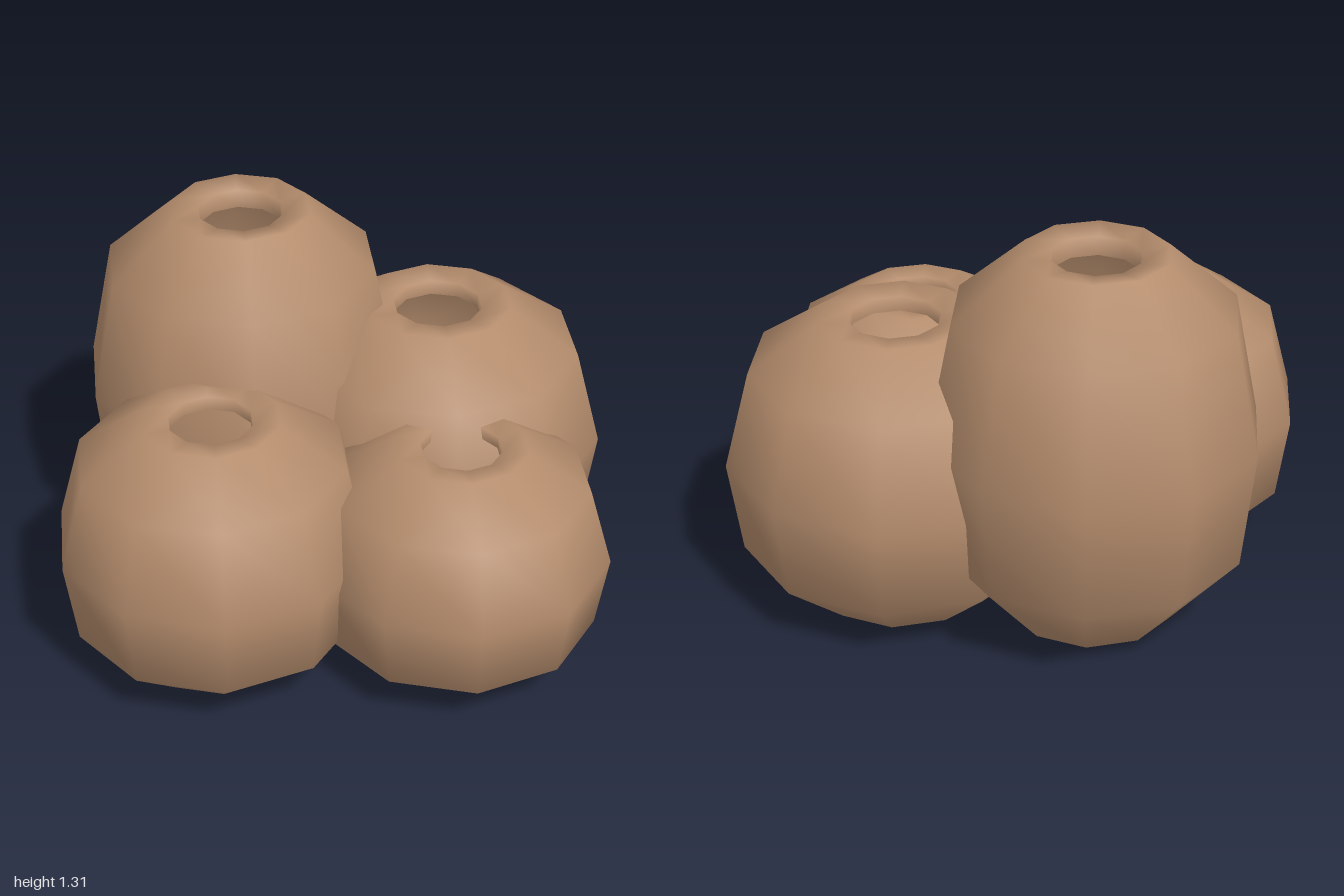
import * as THREE from 'three';

// Pot profile from open foot to inner lip: [fraction of radius, fraction of height]
const PROFILE = [
  [0.51, 0], [0.925, 0.207], [1, 0.52], [0.845, 0.845],
  [0.435, 1], [0.265, 0.99], [0.262, 0.94],
];

// Each pot: name, centre x and z, base height, radius, height
const POTS = [
  ['backPot', 0.01, -0.46, 0.05, 0.54, 1.26],
  ['leftPot', 0.44, 0.04, 0, 0.567, 1.0],
  ['rightPot', -0.49, -0.03, 0, 0.52, 0.91],
  ['frontPot', 0.1, 0.5, 0, 0.5, 0.805],
];

export function createModel() {
  const group = new THREE.Group();
  group.name = 'potCluster';
  const clay = new THREE.MeshStandardMaterial({ color: 0xb48c6c, side: THREE.DoubleSide });

  // Hollow ten-sided rounded pots, open at the top and foot
  for (const [name, x, z, base, radius, height] of POTS) {
    const points = PROFILE.map(([r, h]) => new THREE.Vector2(r * radius, h * height));
    const pot = new THREE.Mesh(new THREE.LatheGeometry(points, 10), clay);
    pot.name = name;
    pot.position.set(x, base, z);
    group.add(pot);
  }
  return group;
}
